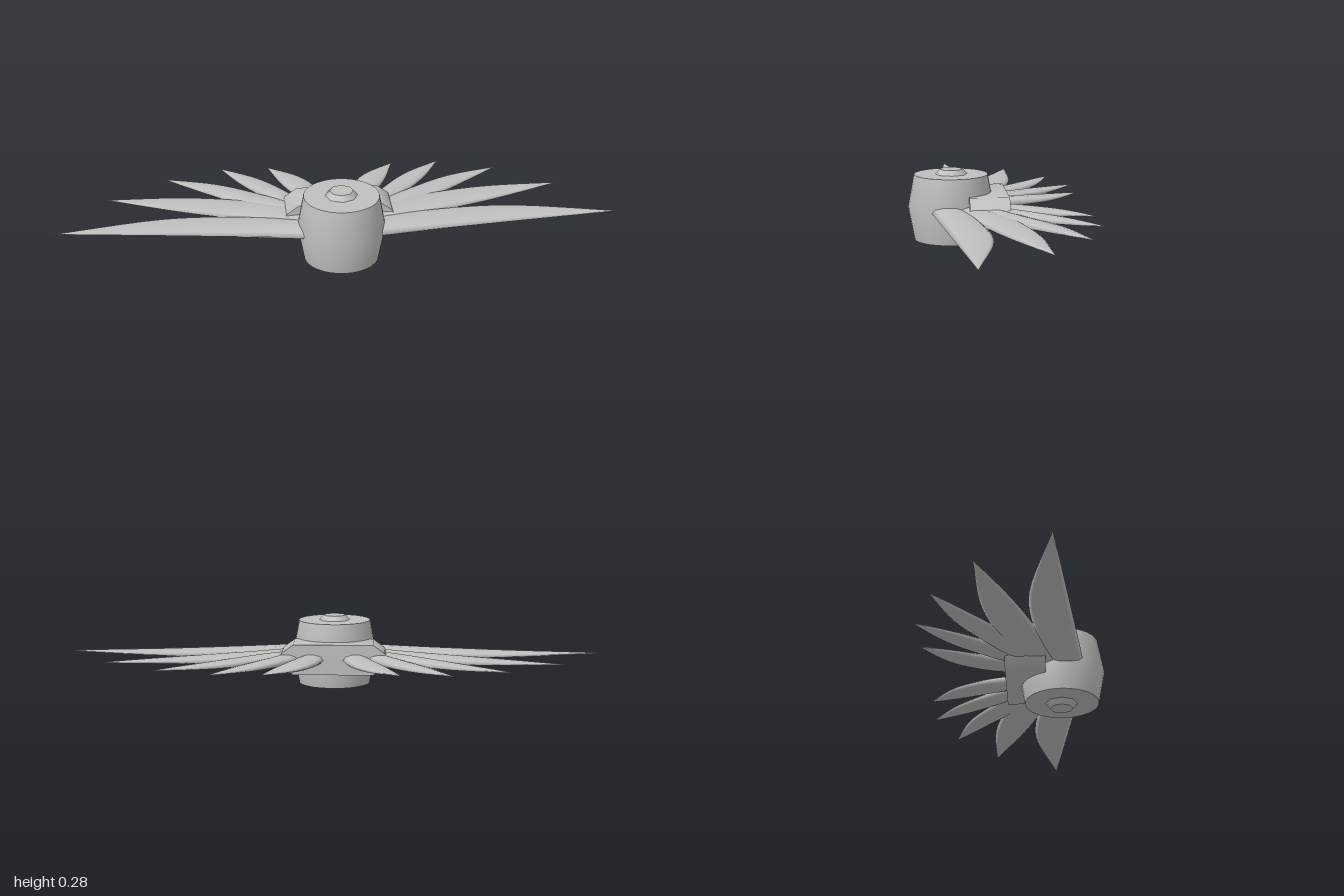
import * as THREE from 'three';
import { toCreasedNormals } from 'three/addons/utils/BufferGeometryUtils.js';

const MID = 0.138; // height of the wing plane
const HUB_Z = 0.172;

// Each feather: leading and trailing edges as [x, z] points, root to tip
const FEATHERS = [
  { lead: [[0.08, 0.14], [0.35, 0.082], [0.6, 0.067], [1, 0.148]], trail: [[0.1, 0.25], [0.35, 0.222], [0.65, 0.188], [1, 0.148]] },
  { lead: [[0.08, 0.06], [0.3, -0.035], [0.53, -0.09], [0.835, -0.1]], trail: [[0.08, 0.19], [0.3, 0.11], [0.56, 0.02], [0.835, -0.1]] },
  { lead: [[0.1, 0.04], [0.26, -0.08], [0.42, -0.185], [0.63, -0.255]], trail: [[0.1, 0.12], [0.29, 0.02], [0.46, -0.11], [0.63, -0.255]] },
  { lead: [[0.09, 0.04], [0.16, -0.08], [0.27, -0.22], [0.42, -0.33]], trail: [[0.15, 0.06], [0.25, -0.06], [0.34, -0.18], [0.42, -0.33]] },
  { lead: [[0.03, 0.04], [0.045, -0.08], [0.11, -0.22], [0.24, -0.325]], trail: [[0.1, 0.04], [0.15, -0.08], [0.195, -0.18], [0.24, -0.325]] },
];

// Lens-shaped blade swept between two edge curves
function featherGeometry({ lead, trail }, side) {
  const curve = (pts) => new THREE.CatmullRomCurve3(pts.map(([x, z]) => new THREE.Vector3(x * side, MID, z)));
  const edges = [curve(lead), curve(trail)];
  if (side < 0) edges.reverse();
  const steps = 16, sides = 10, pos = [], index = [];
  for (let i = 0; i <= steps; i++) {
    const t = i / steps;
    const a = edges[0].getPoint(t), b = edges[1].getPoint(t);
    const mid = a.clone().add(b).multiplyScalar(0.5);
    const half = a.clone().sub(mid);
    const thick = 0.023 * Math.pow(1 - t, 0.7);
    for (let j = 0; j < sides; j++) {
      const ang = (j / sides) * Math.PI * 2;
      const p = mid.clone().addScaledVector(half, Math.cos(ang));
      pos.push(p.x, MID + thick * Math.sin(ang), p.z);
      if (i === steps) continue;
      const k = (j + 1) % sides, r = i * sides, n = r + sides;
      index.push(r + j, r + k, n + j, r + k, n + k, n + j);
    }
  }
  const g = new THREE.BufferGeometry();
  g.setAttribute('position', new THREE.Float32BufferAttribute(pos, 3));
  g.setIndex(index);
  g.computeVertexNormals();
  return g;
}

export function createModel() {
  const model = new THREE.Group();
  const metal = new THREE.MeshStandardMaterial({ color: 0xbfbfbf });
  metal.name = 'light grey metal';
  const add = (name, geometry, parent = model) => {
    const mesh = new THREE.Mesh(geometry, metal);
    mesh.name = name;
    parent.add(mesh);
    return mesh;
  };

  // Barrel-shaped hub, widest at mid height
  const profile = [[0, 0.02], [0.133, 0.02], [0.155, MID], [0.133, 0.257], [0, 0.257]];
  const hub = new THREE.LatheGeometry(profile.map(([x, y]) => new THREE.Vector2(x, y)), 32);
  add('hub', toCreasedNormals(hub, 0.7)).position.z = HUB_Z;

  // Small tapered knobs above and below the hub
  add('topKnob', new THREE.CylinderGeometry(0.042, 0.058, 0.019, 8)).position.set(0, 0.2655, HUB_Z - 0.002);
  add('bottomKnob', new THREE.CylinderGeometry(0.058, 0.042, 0.021, 8)).position.set(0, 0.0105, HUB_Z - 0.002);

  // Cross block behind the hub, with bevelled ends
  const end = [[0.145, -0.055], [0.187, -0.024], [0.2, 0], [0.187, 0.024], [0.145, 0.055]];
  const outline = [...end, ...end.map(([x, y]) => [-x, -y])].map(([x, y]) => new THREE.Vector2(x, y));
  const block = new THREE.ExtrudeGeometry(new THREE.Shape(outline), { depth: 0.143, bevelEnabled: false });
  add('crossBlock', toCreasedNormals(block, 0.75)).position.set(0, MID, -0.028);

  // Fan of five feathers on each side
  for (const side of [1, -1]) {
    const wing = new THREE.Group();
    wing.name = side > 0 ? 'leftWing' : 'rightWing';
    model.add(wing);
    FEATHERS.forEach((f, i) => add(`feather${i + 1}`, featherGeometry(f, side), wing));
  }
  return model;
}
